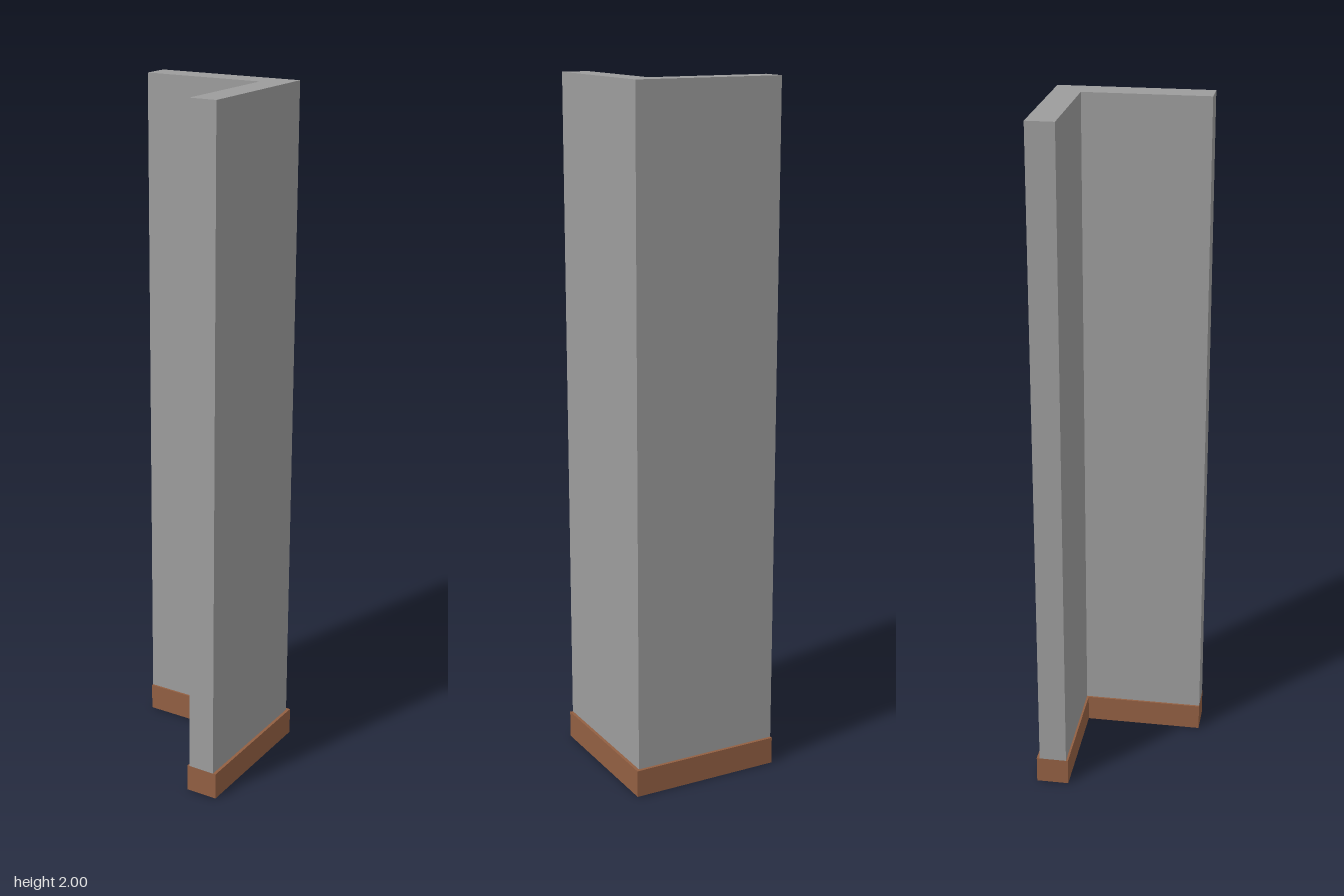
import * as THREE from 'three';

const END = 0.224; // both legs stop here, flush at their free ends
const BASE_HEIGHT = 0.08;

// L-shaped plan between an outer and an inner offset, extruded upwards
function cornerPart(name, outer, inner, y, height, color) {
  const plan = new THREE.Shape([
    [-END, outer], [-END, inner], [inner, inner],
    [inner, -END], [outer, -END], [outer, outer],
  ].map(([x, back]) => new THREE.Vector2(x, back)));
  const geometry = new THREE.ExtrudeGeometry(plan, { depth: height, bevelEnabled: false });
  geometry.rotateX(-Math.PI / 2);
  const mesh = new THREE.Mesh(geometry, new THREE.MeshStandardMaterial({ color }));
  mesh.name = name;
  mesh.position.y = y;
  return mesh;
}

export function createModel() {
  const model = new THREE.Group();
  model.name = 'cornerWall';
  // Slightly wider plinth under the wall
  model.add(cornerPart('baseboard', 0.224, 0.129, 0, BASE_HEIGHT, 0x925f42));
  model.add(cornerPart('wall', 0.215, 0.135, BASE_HEIGHT, 2 - BASE_HEIGHT, 0x9c9c9c));
  return model;
}
